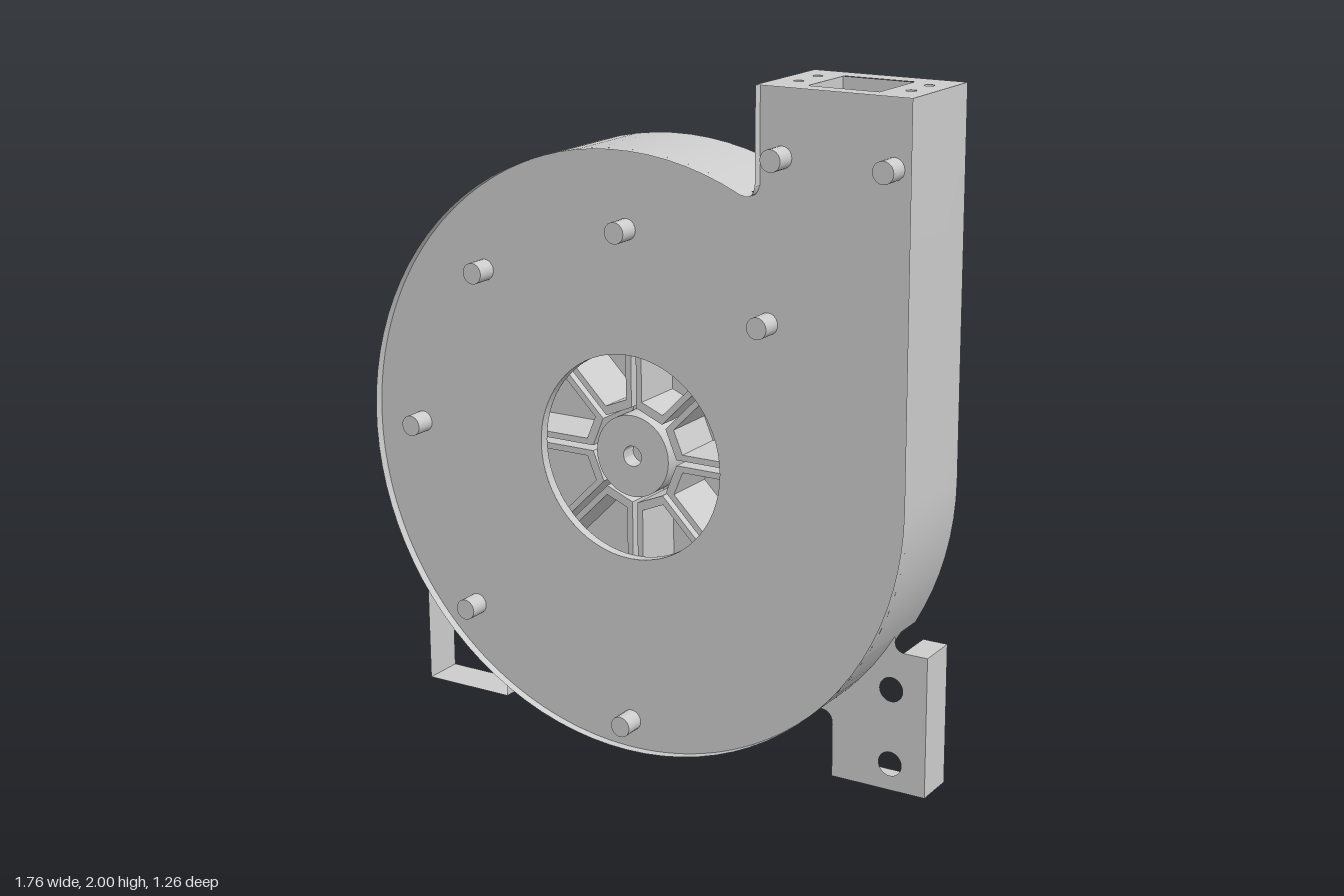
import * as THREE from 'three';
import { toCreasedNormals } from 'three/addons/utils/BufferGeometryUtils.js';

const CY = 0.907; // height of the fan axis
const R = 0.882; // housing radius
const BACK = 0.275, PLATE = 0.57, FRONT = 0.596;
const V = (x, y) => new THREE.Vector2(x, y);

// Points along an arc (or spiral) about the fan axis, angles in degrees
function arc(a0, a1, r0 = R, r1 = r0, n = Math.ceil(Math.abs(a1 - a0) / 4)) {
  return Array.from({ length: n + 1 }, (_, i) => {
    const t = i / n, a = THREE.MathUtils.degToRad(a0 + (a1 - a0) * t), r = r0 + (r1 - r0) * t;
    return V(r * Math.cos(a), CY + r * Math.sin(a));
  });
}

const fillet = (a, c, b) => new THREE.QuadraticBezierCurve(a, c, b).getPoints(6);

// Sheet wall that follows an xy path between two depths
function wallGeometry(path, z0, z1) {
  const pos = [], idx = [];
  path.forEach((p, i) => {
    pos.push(p.x, p.y, z0, p.x, p.y, z1);
    if (i) {
      const a = 2 * i - 2;
      idx.push(a, a + 1, a + 2, a + 1, a + 3, a + 2);
    }
  });
  const g = new THREE.BufferGeometry();
  g.setAttribute('position', new THREE.Float32BufferAttribute(pos, 3));
  g.setIndex(idx);
  return toCreasedNormals(g, 0.5);
}

function circleHole(x, y, r) {
  const p = new THREE.Path();
  p.absarc(x, y, r, 0, Math.PI * 2, true);
  return p;
}

// Turned part about the z axis, profile given as [radius, z]
function turned(profile, segments = 64) {
  const g = new THREE.LatheGeometry(profile.map(([r, z]) => V(r, z)), segments);
  g.rotateX(Math.PI / 2);
  return toCreasedNormals(g, 0.5);
}

export function createModel() {
  const model = new THREE.Group();
  model.name = 'centrifugalBlower';
  const metal = new THREE.MeshStandardMaterial({ color: 0xcccccc, side: THREE.DoubleSide });
  metal.name = 'light grey metal';

  const add = (name, geometry, x = 0, y = 0, z = 0) => {
    const m = new THREE.Mesh(geometry, metal);
    m.name = name;
    m.position.set(x, y, z);
    model.add(m);
    return m;
  };
  const wall = (name, path, z0, z1) => add(name, wallGeometry(path, z0, z1));
  const plate = (name, points, z, holes = []) => {
    const s = new THREE.Shape(points);
    s.holes.push(...holes);
    return add(name, new THREE.ShapeGeometry(s, 32), 0, 0, z);
  };
  const rod = (name, r, z0, z1, x, y) => {
    const g = new THREE.CylinderGeometry(r, r, z1 - z0, 20);
    g.rotateX(Math.PI / 2);
    return add(name, g, x, y, (z0 + z1) / 2);
  };

  // Housing: slightly recessed front plate and a rim, open at the back
  const throat = fillet(V(0.425, 1.75), V(0.425, 1.685), V(0.38, 1.704));
  const start = 64.4;
  plate('housingFront', [V(0.425, 2), ...throat, ...arc(start, 360), V(R, 2)], PLATE,
    [circleHole(0, CY, 0.3)]);
  wall('outletInnerSide', [V(0.425, 2), V(0.425, 1.73)], BACK, FRONT);
  wall('throatFillet', throat, PLATE - 0.03, FRONT);
  wall('housingRimUpper', arc(start, 210), BACK, FRONT);
  wall('housingRimFootRight', arc(210, 234), 0.36, FRONT);
  wall('housingRimBottom', arc(234, 306), BACK, FRONT);
  wall('housingRimFootLeft', arc(306, 330), 0.36, FRONT);
  wall('housingRimOutlet', [...arc(330, 360), V(R, 2)], BACK, FRONT);
  wall('inletRim', arc(0, 360, 0.3), 0.54, PLATE);

  // Outlet flange on top, with its opening and four screw holes
  const top = new THREE.Shape([V(0.425, -FRONT), V(R, -FRONT), V(R, -BACK), V(0.425, -BACK)]);
  top.holes.push(new THREE.Path([V(0.55, -0.54), V(0.55, -0.34), V(0.76, -0.34), V(0.76, -0.54)]));
  for (const x of [0.49, 0.82]) for (const z of [0.375, 0.48]) {
    top.holes.push(circleHole(x, -z, 0.014));
    add('outletScrewHole', new THREE.CylinderGeometry(0.014, 0.014, 0.02, 16, 1, true), x, 1.99, z);
  }
  const topGeometry = new THREE.ShapeGeometry(top, 12);
  topGeometry.rotateX(-Math.PI / 2);
  add('outletFlange', topGeometry, 0, 2, 0);

  // Inner volute: straight outlet duct with a rounded tongue, spiral faces open at the edge
  const tongue = [
    V(0.55, 2), V(0.55, 1.25), ...fillet(V(0.55, 1.25), V(0.56, 1.1), V(0.61, 0.96)).slice(1),
    ...fillet(V(0.61, 0.96), V(0.61, 0.9), V(0.56, CY)).slice(1),
  ];
  const volute = [...tongue, ...arc(4, 360, 0.54, 0.76), V(0.76, 2)];
  wall('ductInnerWall', tongue, 0.345, 0.54);
  wall('ductOuterWall', [V(0.76, CY), V(0.76, 2)], 0.345, 0.54);
  plate('voluteBack', volute, 0.345);
  plate('voluteFront', volute, 0.54, [circleHole(0, CY, 0.3)]);

  // Impeller: hub, disc and eight U-shaped sheets whose arms pair up as blades
  add('impellerHub', turned([[0, 0.5], [0.03, 0.5], [0.03, 0.55], [0.12, 0.55], [0.12, 0.37]], 40),
    0, CY, 0);
  add('impellerDisc', turned([[0, 0.36], [0.5, 0.36], [0.5, 0.375], [0, 0.375]]), 0, CY, 0);
  // One arm point at distance r along a sector edge, set in by d
  const half = Math.PI / 8;
  const arm = (r, d, s) => V(r * Math.cos(half) + d * Math.sin(half),
    s * (r * Math.sin(half) - d * Math.cos(half)));
  const sheet = new THREE.Shape([
    arm(0.5, 0.008, 1), arm(0.14, 0.008, 1), arm(0.14, 0.008, -1), arm(0.5, 0.008, -1),
    arm(0.5, 0.026, -1), arm(0.16, 0.026, -1), arm(0.16, 0.026, 1), arm(0.5, 0.026, 1),
  ]);
  const sheetGeometry = new THREE.ExtrudeGeometry(sheet, { depth: 0.165, bevelEnabled: false });
  for (let i = 0; i < 8; i++) {
    add('impellerBlade', sheetGeometry, 0, CY, 0.375).rotation.z = (i + 0.5) * Math.PI / 4;
  }

  // Feet: sheet outline on both sides, a drilled face on the left one
  const footSheet = [V(0.79, 0.42), V(0.865, 0.42), V(0.865, 0), V(0.57, 0), V(0.57, 0.17)];
  for (const s of [1, -1]) {
    wall(s > 0 ? 'leftFootSides' : 'rightFootSides', footSheet.map((p) => V(p.x * s, p.y)), BACK, 0.4);
  }
  plate('leftFootFace', [
    ...fillet(V(0.765, 0.46), V(0.76, 0.42), V(0.8, 0.42)), ...footSheet.slice(1, 4),
    ...fillet(V(0.57, 0.16), V(0.57, 0.2), V(0.53, 0.2)), ...arc(307, 330),
  ], 0.4, [circleHole(0.755, 0.305, 0.036), circleHole(0.755, 0.08, 0.036)]);

  // Cover bolts with their shanks
  const bolts = [[0, 1.565], [-0.485, 1.395], [0.45, 1.355], [-0.725, CY], [-0.545, 0.365],
    [0, 0.11], [0.49, 1.81], [0.82, 1.81]];
  for (const [x, y] of bolts) {
    rod('coverBoltHead', 0.031, PLATE, 0.632, x, y);
    if (y < 1.8) rod('coverBoltShank', 0.018, 0.46, PLATE, x, y);
  }

  // Motor: flange, body and recessed end
  add('motorBody', turned([[0, BACK], [0.375, BACK], [0.375, 0.23], [0.24, 0.23], [0.24, -0.45],
    [0.13, -0.45], [0.13, -0.38], [0, -0.38]]), 0, CY, 0);
  rod('motorSpigot', 0.28, BACK, 0.345, 0, CY);
  rod('driveShaft', 0.075, -0.63, -0.38, 0, CY);
  add('shaftKey', new THREE.BoxGeometry(0.04, 0.05, 0.13), 0, 0.975, -0.525);
  const keyEnd = new THREE.CylinderGeometry(0.02, 0.02, 0.05, 16);
  for (const z of [-0.46, -0.59]) add('shaftKeyEnd', keyEnd, 0, 0.975, z);
  for (let i = 0; i < 4; i++) {
    const a = i * Math.PI / 2, b = a + Math.PI / 4;
    rod('motorEndBolt', 0.024, -0.483, -0.45, 0.213 * Math.cos(a), CY + 0.213 * Math.sin(a));
    rod('flangeBolt', 0.022, 0.222, 0.23, 0.32 * Math.cos(b), CY + 0.32 * Math.sin(b));
  }
  return model;
}
